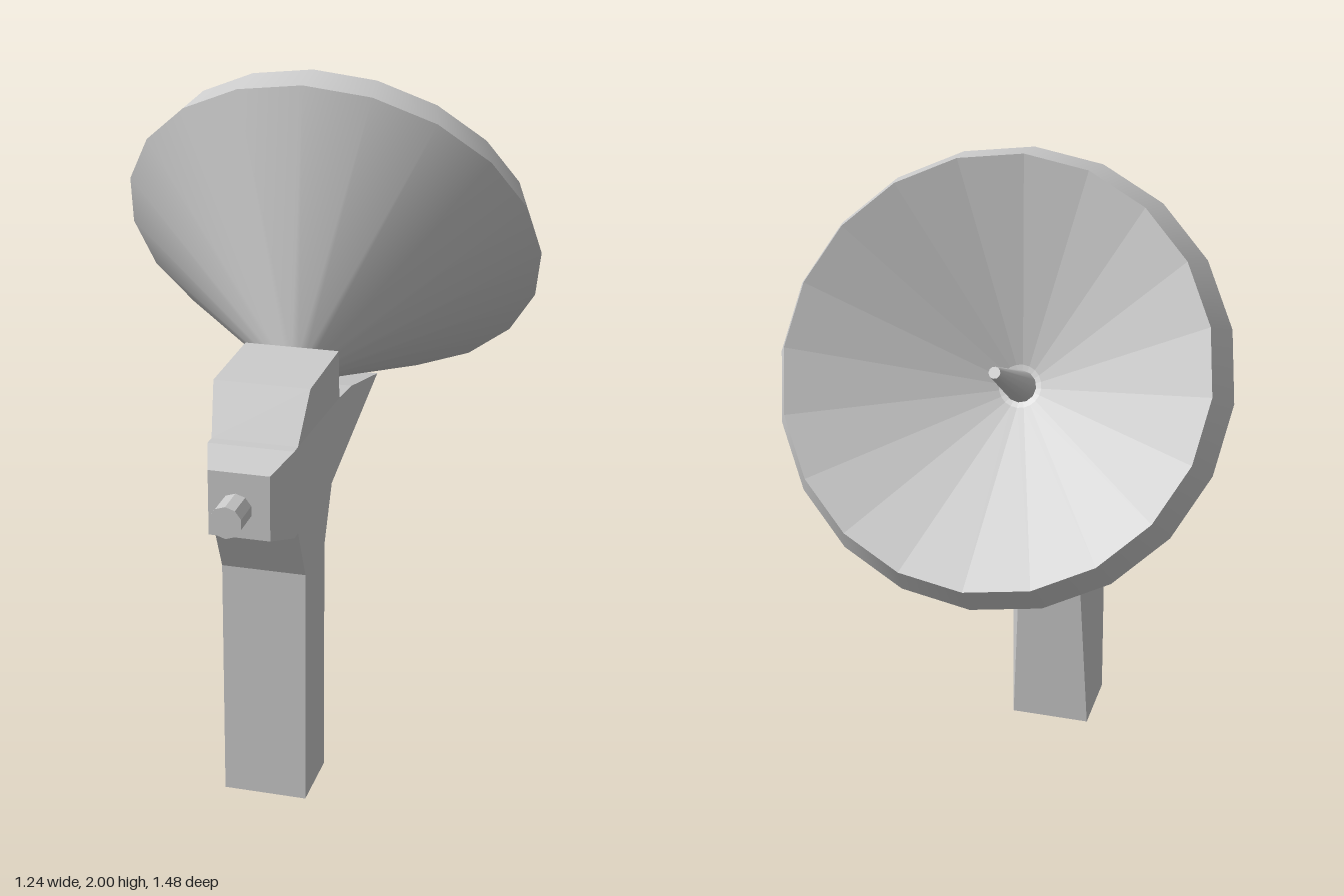
import * as THREE from 'three';

const smooth = new THREE.MeshStandardMaterial({ color: 0xcccccc });
const flat = new THREE.MeshStandardMaterial({ color: 0xcccccc, flatShading: true });

function add(parent, name, geometry, material = flat) {
  const mesh = new THREE.Mesh(geometry, material);
  mesh.name = name;
  parent.add(mesh);
  return mesh;
}

// Mirrored prism: convex side outline of [z, y, halfWidth], clockwise with z to the right
function prism(outline) {
  const pos = [];
  const at = ([z, y, w = 0.12], side) => [side * w, y, z];
  const tri = (...corners) => corners.forEach((c) => pos.push(...c));
  const n = outline.length;
  for (let i = 0; i < n; i++) {
    const a = outline[i], b = outline[(i + 1) % n];
    tri(at(a, 1), at(a, -1), at(b, -1));
    tri(at(a, 1), at(b, -1), at(b, 1));
    if (i > 0 && i < n - 1) {
      tri(at(outline[0], 1), at(a, 1), at(b, 1));
      tri(at(outline[0], -1), at(b, -1), at(a, -1));
    }
  }
  const g = new THREE.BufferGeometry();
  g.setAttribute('position', new THREE.Float32BufferAttribute(pos, 3));
  g.computeVertexNormals();
  return g;
}

// Box tapering along z, from rear to front section of [z, yLow, yHigh, halfWidth]
function taper(rear, front) {
  const g = new THREE.BoxGeometry(1, 1, 1);
  const p = g.attributes.position;
  for (let i = 0; i < p.count; i++) {
    const [z, lo, hi, w] = p.getZ(i) < 0 ? rear : front;
    p.setXYZ(i, Math.sign(p.getX(i)) * w, p.getY(i) < 0 ? lo : hi, z);
  }
  g.computeVertexNormals();
  return g;
}

const lathe = (points) =>
  new THREE.LatheGeometry(points.map(([r, h]) => new THREE.Vector2(r, h)), 20);

export function createModel() {
  const model = new THREE.Group();
  model.name = 'dishDevice';

  // Handle and body
  const body = new THREE.Group();
  body.name = 'body';
  model.add(body);
  add(body, 'handle', prism([[0.19, 0], [0.17, 0.65, 0.09], [0.2, 0.71], [0.4, 0.71], [0.4, 0]]));
  add(body, 'core', prism([[0.2, 0.71], [0.12, 0.87], [0.04, 1.1], [0.475, 1.12], [0.475, 0.87], [0.4, 0.71]]));
  add(body, 'hood', prism([[0.04, 1.1], [0.11, 1.265, 0.135], [0.405, 1.26, 0.135], [0.475, 1.12]]));
  add(body, 'tail', prism([[0.12, 0.87], [-0.42, 1.01], [-0.1, 1.085], [0.04, 1.1]]));

  // Nozzle with a separate knob in front of it
  add(body, 'nozzleCollar', taper([0.475, 0.87, 1.12, 0.12], [0.51, 0.87, 1.12, 0.12]));
  add(body, 'nozzle', taper([0.51, 0.87, 1.12, 0.12], [0.62, 0.905, 1.09, 0.085]));
  const knob = add(model, 'knob', new THREE.CylinderGeometry(0.045, 0.045, 0.09, 10));
  knob.rotation.x = Math.PI / 2;
  knob.position.set(0, 1, 0.695);

  // Trigger on the back of the handle
  const trigger = new THREE.Group();
  trigger.name = 'trigger';
  model.add(trigger);
  add(trigger, 'triggerBase', taper([0.145, 0.55, 0.68, 0.095], [0.2, 0.55, 0.68, 0.095]));
  add(trigger, 'triggerPad', taper([0.115, 0.575, 0.655, 0.07], [0.145, 0.55, 0.68, 0.095]));

  // Dish, tilted up and back
  const dish = new THREE.Group();
  dish.name = 'dish';
  dish.position.set(0, 1.4575, -0.335);
  dish.rotation.x = -1;
  model.add(dish);
  add(dish, 'dishShell', lathe([[0.065, -0.49], [0.62, 0]]), smooth);
  add(dish, 'dishBase', lathe([[0, -0.495], [0.065, -0.49]]));
  add(dish, 'dishRim', lathe([[0.62, 0], [0.577, 0.105]]), smooth);
  add(dish, 'dishBowl', lathe([[0.577, 0.105], [0.06, -0.21], [0, -0.225]]));
  const antenna = add(dish, 'antenna', new THREE.CylinderGeometry(0.016, 0.045, 0.31, 12), smooth);
  antenna.position.y = -0.065;

  return model;
}
